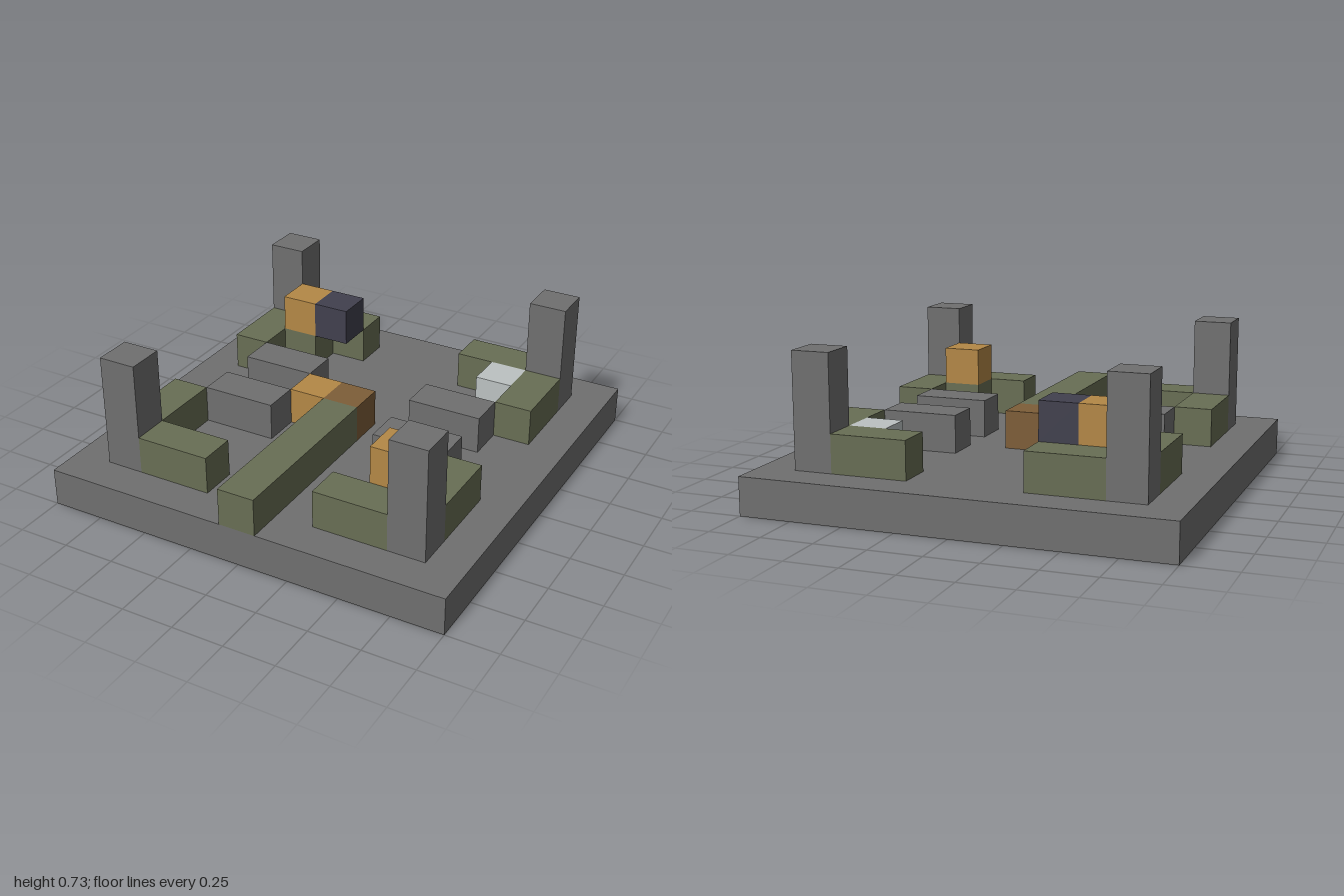
import * as THREE from 'three';

const U = 2 / 11; // one cell of the 11 x 11 grid

export function createModel() {
  const group = new THREE.Group();
  const material = (name, color) => {
    const m = new THREE.MeshStandardMaterial({ color });
    m.name = name;
    return m;
  };
  const stone = material('stone grey', 0x707070);
  const moss = material('moss green', 0x686e54);
  const amber = material('amber', 0xb48846);
  const wood = material('wood brown', 0x7e5e38);
  const dark = material('dark slate', 0x41404e);
  const pale = material('pale grey', 0xbcc2c2);

  // Block centred on grid cell (x, z), resting on layer y, sized in cells
  function block(name, mat, x, y, z, w = 1, h = 1, d = 1) {
    const mesh = new THREE.Mesh(new THREE.BoxGeometry(w * U, h * U, d * U), mat);
    mesh.position.set(x * U, (y + h / 2) * U, z * U);
    mesh.name = name;
    group.add(mesh);
  }

  block('basePlate', stone, 0, 0, 0, 11, 1, 11);

  // Four mirrored corners: pillar, two low mossy walls, inner stone wall
  for (const sx of [-1, 1]) {
    for (const sz of [-1, 1]) {
      block('cornerPillar', stone, sx * 4, 1, sz * 4, 1, 3, 1);
      block('outerWall', moss, sx * 2.5, 1, sz * 4, 2, 1, 1);
      block('sideWall', moss, sx * 4, 1, sz * 2.5, 1, 1, 2);
      block('innerWall', stone, sx * 2.5, 1, sz, 2, 1, 1);
    }
  }

  // Central path with the two blocks at its end
  block('centralStrip', moss, 0, 1, 3, 1, 1, 5);
  block('centreBlock', wood, 0, 1, 0);
  block('centreSideBlock', amber, -1, 1, 0);

  // Raised blocks in opposite corners
  for (const s of [-1, 1]) {
    block('cornerSupport', moss, s * 3, 1, s * 3);
    block('raisedBlock', amber, s * 3, 2, s * 3);
  }
  block('darkBlock', dark, -2, 2, -3);
  block('paleBlock', pale, 3, 1, -3);

  return group;
}
